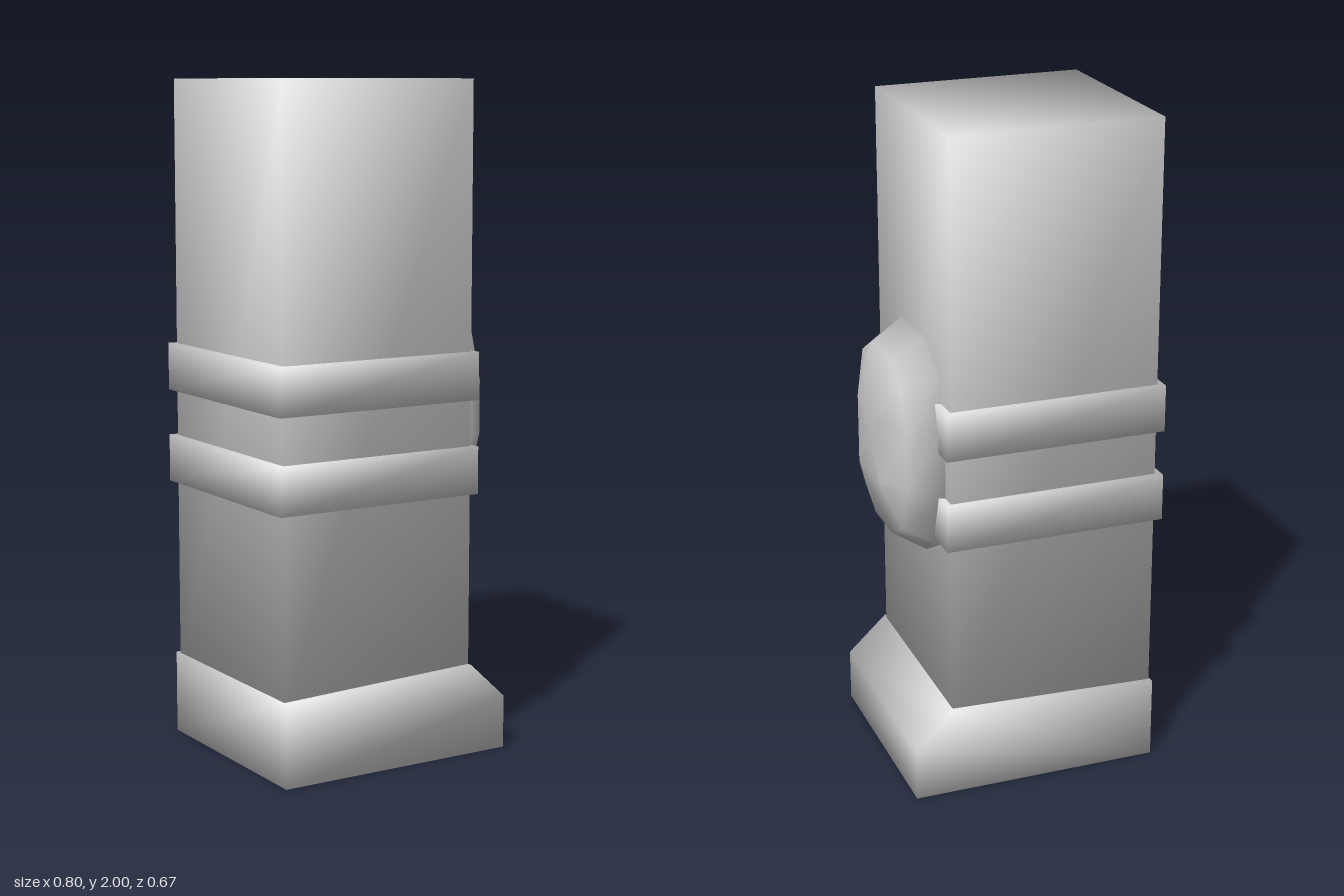
import * as THREE from 'three';
import { mergeVertices } from 'three/addons/utils/BufferGeometryUtils.js';

const material = new THREE.MeshStandardMaterial({ color: 0xcccccc });

// Weld all corners and give them soft, angle-weighted normals
function soften(source) {
  source.deleteAttribute('normal');
  source.deleteAttribute('uv');
  const geo = mergeVertices(source, 1e-4);
  const pos = geo.attributes.position;
  const index = geo.index.array;
  const sums = Array.from({ length: pos.count }, () => new THREE.Vector3());
  for (let i = 0; i < index.length; i += 3) {
    const ids = [index[i], index[i + 1], index[i + 2]];
    const p = ids.map((k) => new THREE.Vector3().fromBufferAttribute(pos, k));
    const n = p[1].clone().sub(p[0]).cross(p[2].clone().sub(p[0]));
    if (n.length() < 1e-9) continue;
    n.normalize();
    for (let c = 0; c < 3; c++) {
      const a = p[(c + 1) % 3].clone().sub(p[c]);
      const b = p[(c + 2) % 3].clone().sub(p[c]);
      sums[ids[c]].addScaledVector(n, a.angleTo(b));
    }
  }
  const normals = sums.flatMap((v) => v.normalize().toArray());
  geo.setAttribute('normal', new THREE.Float32BufferAttribute(normals, 3));
  return geo;
}

function box(x0, x1, y0, y1, halfZ) {
  return new THREE.BoxGeometry(x1 - x0, y1 - y0, halfZ * 2)
    .translate((x0 + x1) / 2, (y0 + y1) / 2, 0);
}

// Wedge-toed profile swept across the width
function footGeometry() {
  const profile = [[-0.385, 0], [0.375, 0], [0.375, 0.16], [0.255, 0.272], [-0.385, 0.25]];
  const shape = new THREE.Shape(profile.map(([x, y]) => new THREE.Vector2(x, y)));
  return new THREE.ExtrudeGeometry(shape, { depth: 0.67, bevelEnabled: false })
    .translate(0, 0, -0.335);
}

// Rounded pad: a twelve-sided outline stepping in towards a small flat face
function padGeometry() {
  const quarter = [[0.275, 0.1], [0.22, 0.27], [0.1, 0.337]];
  const outline = [];
  for (const [sz, sy] of [[1, 1], [-1, 1], [-1, -1], [1, -1]]) {
    const part = quarter.map(([z, y]) => [z * sz, y * sy]);
    outline.push(...(sz * sy > 0 ? part : part.reverse()));
  }
  const clamp = THREE.MathUtils.clamp;
  const rings = [
    outline.map(() => [0.25, 0, 0]),
    outline.map(([z, y]) => [0.25, y, z]),
    outline.map(([z, y]) => [0.355, y * 0.81, z * 0.81]),
    outline.map(([z, y]) => [0.397, clamp(y, -0.105, 0.105), clamp(z, -0.1, 0.1)]),
    outline.map(() => [0.397, 0, 0]),
  ];
  const count = outline.length;
  const points = [];
  const triangle = (a, b, c) => {
    const same = (p, q) => p.every((v, i) => Math.abs(v - q[i]) < 1e-6);
    if (!same(a, b) && !same(b, c) && !same(a, c)) points.push(...a, ...b, ...c);
  };
  for (let r = 0; r < rings.length - 1; r++) {
    for (let i = 0; i < count; i++) {
      const j = (i + 1) % count;
      triangle(rings[r][i], rings[r + 1][j], rings[r][j]);
      triangle(rings[r][i], rings[r + 1][i], rings[r + 1][j]);
    }
  }
  const geo = new THREE.BufferGeometry();
  geo.setAttribute('position', new THREE.Float32BufferAttribute(points, 3));
  return geo.translate(0, 1.03, 0);
}

export function createModel() {
  const model = new THREE.Group();
  model.name = 'armouredLeg';
  const add = (name, geometry) => {
    const mesh = new THREE.Mesh(soften(geometry), material);
    mesh.name = name;
    model.add(mesh);
  };

  add('leg', box(-0.38, 0.255, 0.2, 2, 0.318));
  add('foot', footGeometry());
  // Two straps holding the knee pad
  add('upperStrap', box(-0.4, 0.272, 1.07, 1.212, 0.335));
  add('lowerStrap', box(-0.4, 0.272, 0.79, 0.932, 0.335));
  add('kneePad', padGeometry());
  return model;
}
